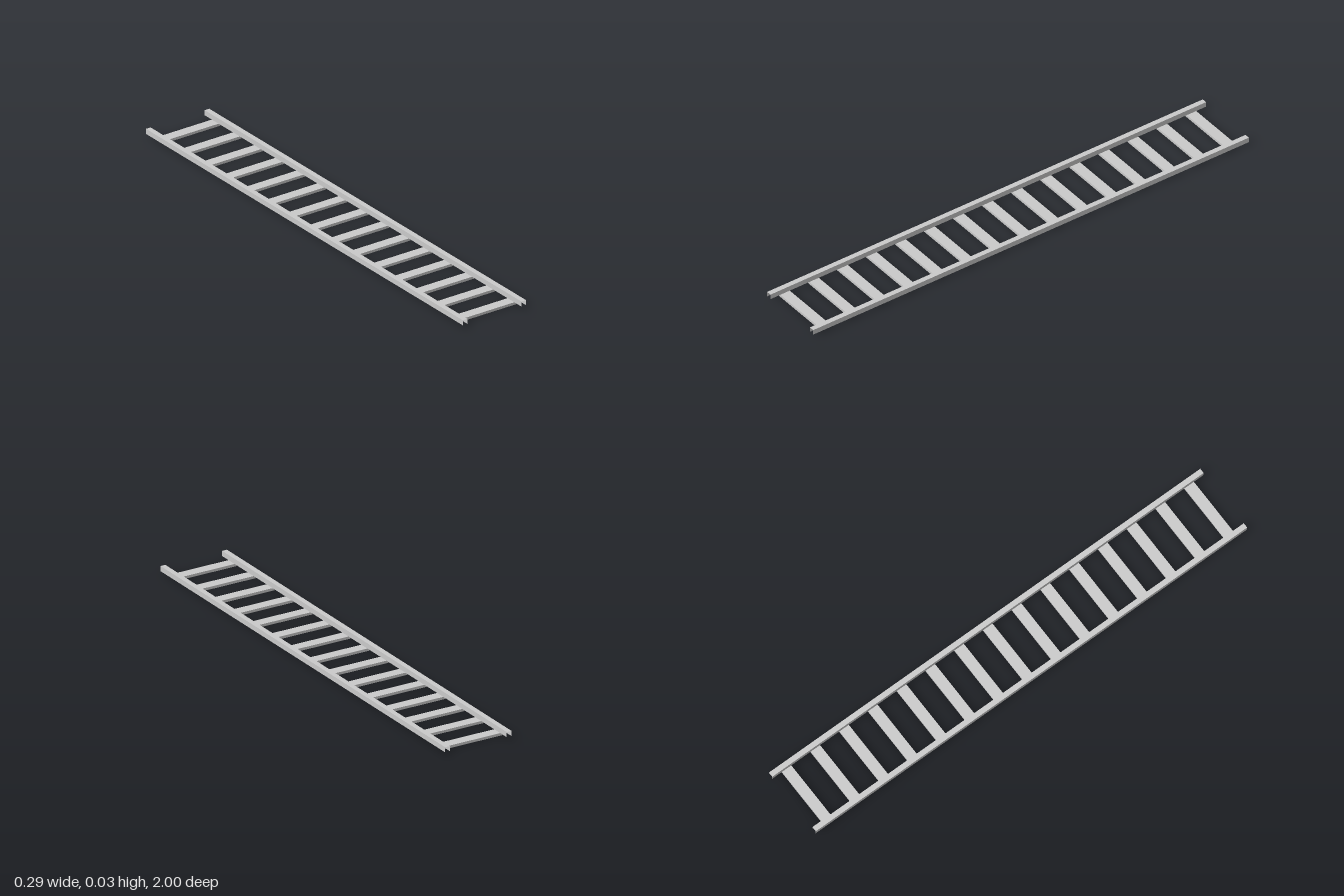
import * as THREE from 'three';

const material = new THREE.MeshStandardMaterial({ color: 0xcccccc, side: THREE.DoubleSide, flatShading: true });

// Thin sheet channel, open below and at both ends, running along z
function channel(name, width, height, length) {
  const group = new THREE.Group();
  group.name = name;
  const sheet = (part, w, l) => {
    const mesh = new THREE.Mesh(new THREE.PlaneGeometry(w, l), material);
    mesh.name = part;
    group.add(mesh);
    return mesh;
  };
  const top = sheet('topSheet', width, length);
  top.rotation.x = -Math.PI / 2;
  top.position.y = height;
  for (const side of [-1, 1]) {
    const wall = sheet('sideWall', length, height);
    wall.rotation.y = side * Math.PI / 2;
    wall.position.set(side * width / 2, height / 2, 0);
  }
  return group;
}

export function createModel() {
  const model = new THREE.Group();
  model.name = 'ladder';
  const rungHeight = 0.0105;

  // Two long side rails resting on the rungs
  for (const side of [-1, 1]) {
    const rail = channel(side > 0 ? 'leftRail' : 'rightRail', 0.021, 0.021, 2);
    rail.position.set(side * 0.1345, rungHeight, 0);
    model.add(rail);
  }

  // Fifteen evenly spaced rungs reaching under the rails
  for (let i = -7; i <= 7; i++) {
    const rung = channel('rung', 0.043, rungHeight, 0.266);
    rung.rotation.y = Math.PI / 2;
    rung.position.z = i * 0.1333;
    model.add(rung);
  }
  return model;
}
